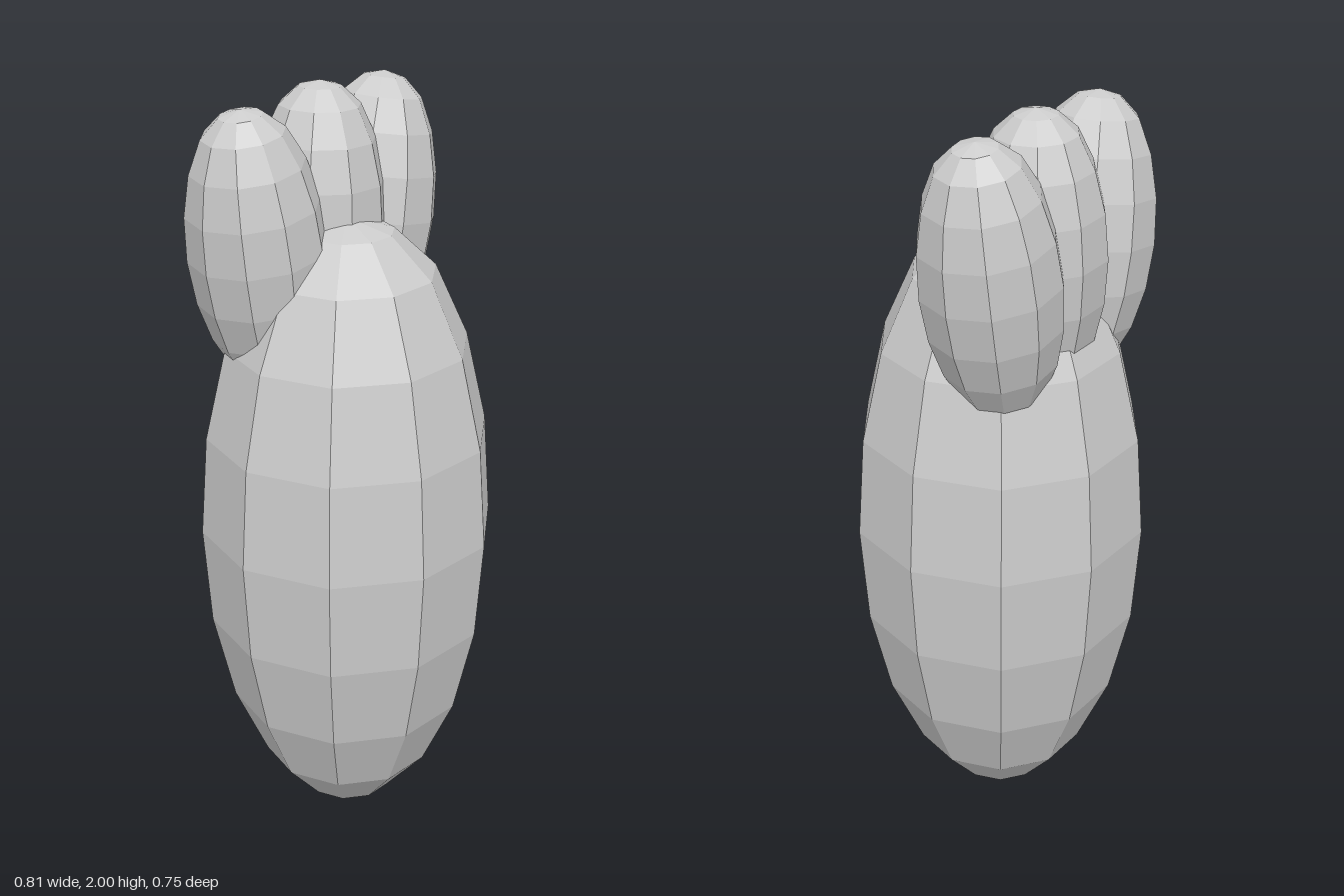
import * as THREE from 'three';

const SIDES = 10;
const material = new THREE.MeshStandardMaterial({ color: 0xcccccc, flatShading: true });

// Faceted egg form with a flat base, corners facing +x and -x
function podGeometry(radius, halfHeight) {
  const points = [new THREE.Vector2(0, -0.965 * halfHeight)];
  for (let i = -4; i <= 4; i++) {
    const a = (i * Math.PI) / 10;
    const y = i === 4 ? 0.93 : Math.sin(a);
    points.push(new THREE.Vector2(radius * Math.cos(a), y * halfHeight));
  }
  points.push(new THREE.Vector2(0, 0.968 * halfHeight));
  return new THREE.LatheGeometry(points, SIDES, Math.PI / 2);
}

export function createModel() {
  const group = new THREE.Group();
  group.name = 'cactus';

  // Main stem
  const stem = new THREE.Mesh(podGeometry(0.392, 0.87), material);
  stem.name = 'stem';
  stem.position.set(-0.008, 0.843, 0);
  group.add(stem);

  // Three buds fanned out across the back of the crown
  const budGeometry = podGeometry(0.18, 0.38);
  const buds = [
    ['rightBud', -0.186, 1.612, 0.14],
    ['middleBud', 0.03, 1.632, -0.03],
    ['leftBud', 0.222, 1.62, -0.17],
  ];
  for (const [name, x, y, lean] of buds) {
    const bud = new THREE.Mesh(budGeometry, material);
    bud.name = name;
    bud.position.set(x, y, -0.137);
    bud.rotation.z = lean;
    group.add(bud);
  }
  return group;
}
